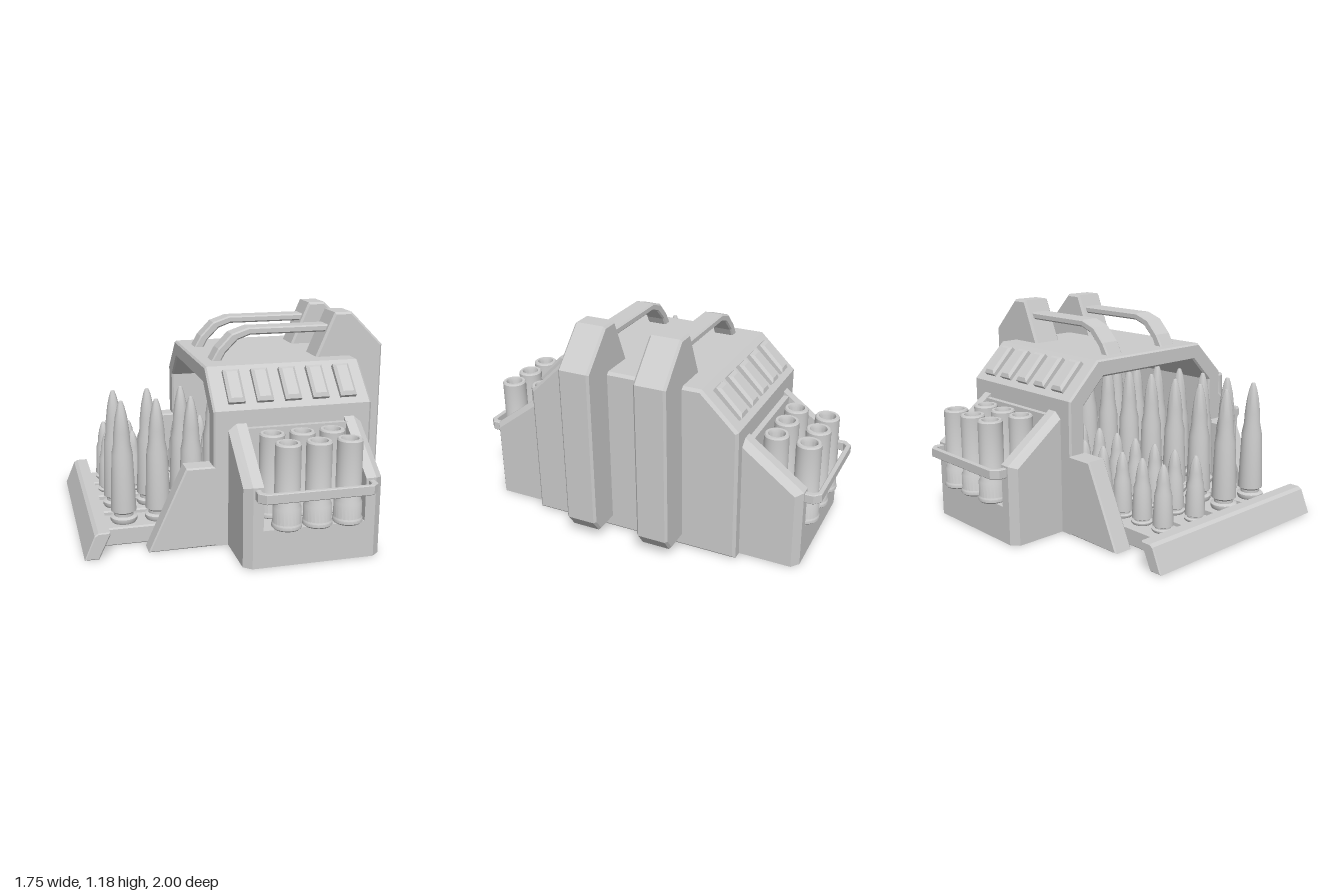
import * as THREE from 'three';
import { ConvexGeometry } from 'three/addons/geometries/ConvexGeometry.js';
import { toCreasedNormals } from 'three/addons/utils/BufferGeometryUtils.js';

const grey = new THREE.MeshStandardMaterial({ color: 0xcccccc });

function add(parent, name, geometry, x = 0, y = 0, z = 0) {
  const mesh = new THREE.Mesh(geometry, grey);
  mesh.name = name;
  mesh.position.set(x, y, z);
  parent.add(mesh);
  return mesh;
}

// Bevelled slab: outline in x/y, running along z from z0 to z1
function slab(outline, z0, z1, bevel = 0.012) {
  const shape = new THREE.Shape(outline.map(([x, y]) => new THREE.Vector2(x, y)));
  return new THREE.ExtrudeGeometry(shape, {
    depth: z1 - z0 - 2 * bevel, bevelEnabled: bevel > 0, bevelSegments: 1,
    bevelThickness: bevel, bevelSize: bevel, bevelOffset: -bevel,
  }).translate(0, 0, z0 + bevel);
}

// Symmetric z/y outline running along x
const slabX = (outline, x0, x1, bevel) => slab(outline, x0, x1, bevel).rotateY(Math.PI / 2);

const lathe = (points, sides = 24) => toCreasedNormals(
  new THREE.LatheGeometry(points.map(([r, y]) => new THREE.Vector2(r, y)), sides), 0.6);

const hull = (points) => new ConvexGeometry(points.map((p) => new THREE.Vector3(...p)));

// Hollow housing, closed at the +x end and open at the -x end
function housing(root) {
  const outer = [[-0.6, 0], [0.6, 0], [0.6, 0.74], [0.4, 0.935], [-0.4, 0.935], [-0.6, 0.74]];
  const arch = [
    [-0.6, 0], [-0.5, 0], [-0.5, 0.7], [-0.36, 0.84], [0.36, 0.84], [0.5, 0.7], [0.5, 0],
    [0.6, 0], [0.6, 0.74], [0.4, 0.935], [-0.4, 0.935], [-0.6, 0.74],
  ];
  add(root, 'housingShell', slabX(arch, -0.19, 0.62, 0.01));
  add(root, 'housingEndWall', slabX(outer, 0.55, 0.685, 0.015));

  // Raised vents on both sloping shoulders
  const vent = hull([[0.045, 0.1, -0.02], [0.045, 0.1, 0.022], [0.03, 0.08, 0.035]].flatMap(
    ([x, y, z]) => [[x, y, z], [-x, y, z], [x, -y, z], [-x, -y, z]]));
  for (const side of [1, -1]) {
    for (let i = 0; i < 5; i++) {
      const mesh = add(root, 'shoulderVent', vent, -0.06 + i * 0.154, 0.8375, side * 0.5);
      mesh.rotation.set(-0.773, 0, 0);
      if (side < 0) mesh.rotation.set(-0.773, Math.PI, 0, 'YXZ');
      else mesh.rotation.order = 'YXZ';
    }
  }

  // Cheek plates beside the opening
  const cheek = [[-0.54, 0], [-0.15, 0], [-0.15, 0.445], [-0.335, 0.445]];
  for (const z of [-0.6, 0.49]) add(root, 'cheekPlate', slab(cheek, z, z + 0.11, 0.008));
}

// Fins on the closed end, with a grab handle running from each over the roof
function finsAndHandles(root) {
  const fin = [
    [0.45, 0.88], [0.58, 1.18], [0.68, 1.18], [0.87, 0.99],
    [0.87, 0.13], [0.82, 0.06], [0.66, 0.06], [0.6, 0.12],
  ];
  const handle = [
    [-0.125, 0.92], [-0.08, 1.0], [-0.005, 1.078], [0.09, 1.11], [0.56, 1.11],
    [0.56, 1.07], [0.1, 1.07], [0.03, 1.045], [-0.04, 0.975], [-0.07, 0.92],
  ];
  for (const z of [-0.21, 0.21]) {
    add(root, 'endFin', slab(fin, -0.088, 0.088, 0.012), 0, 0, z);
    add(root, 'roofHandle', slab(handle, -0.056, 0.056, 0.008), 0, 0, z);
  }
}

// Four trays of cartridges, joined by a slanted front lip
function trays(root) {
  const big = lathe([
    [0, 0], [0.066, 0], [0.073, 0.012], [0.073, 0.028], [0.053, 0.036], [0.053, 0.052],
    [0.069, 0.064], [0.057, 0.38], [0.046, 0.435], [0.043, 0.5], [0.033, 0.58],
    [0.02, 0.64], [0.01, 0.668], [0, 0.672],
  ]);
  const small = big.clone().scale(0.8, 0.53, 0.8);
  const tray = [[-0.8, 0], [0.58, 0], [0.58, 0.1], [-0.755, 0.1]];
  const rows = [
    { z: 0.365, x: -0.635, step: 0.188, shape: big },
    { z: 0.12, x: -0.645, step: 0.19, shape: big },
    { z: -0.135, x: -0.66, step: 0.152, shape: small },
    { z: -0.37, x: -0.65, step: 0.152, shape: small },
  ];
  for (const row of rows) {
    add(root, 'tray', slab(tray, -0.097, 0.097, 0.008), 0, 0, row.z);
    for (let x = row.x; x < 0.5; x += row.step) add(root, 'cartridge', row.shape, x, 0.1, row.z);
  }
  const lip = [[-0.875, 0], [-0.82, 0.13], [-0.8, 0.143], [-0.74, 0.143], [-0.74, 0.125], [-0.8, 0]];
  add(root, 'trayLip', slab(lip, -0.617, 0.617, 0.006));
}

// Side pod holding six open tubes; side = 1 front, -1 back
function pod(root, side) {
  const group = new THREE.Group();
  group.name = side > 0 ? 'frontPod' : 'backPod';
  group.position.x = 0.255;
  group.rotation.y = side > 0 ? 0 : Math.PI;
  root.add(group);

  // Chamfered side walls
  const section = (x, inset) => [
    [x, 0, 0.56], [x, 0, 0.92 - inset], [x, 0.43 - inset * 0.3, 0.92 - inset],
    [x, 0.67 - inset, 0.6], [x, 0.67 - inset, 0.56],
  ];
  for (const s of [-1, 1]) {
    add(group, 'podWall', hull([
      ...section(s * 0.27, 0), ...section(s * 0.325, 0), ...section(s * 0.367, 0.035),
    ]));
  }
  add(group, 'podBase', new THREE.BoxGeometry(0.56, 0.2, 0.36), 0, 0.1, 0.74);
  add(group, 'podBackPlate', new THREE.BoxGeometry(0.56, 0.46, 0.06), 0, 0.418, 0.601);

  // Retaining rail wrapped round the outer row
  const rail = [
    [-0.315, 0.89], [-0.315, 0.965], [-0.28, 1.0], [0.28, 1.0], [0.315, 0.965], [0.315, 0.89],
    [0.285, 0.89], [0.285, 0.955], [0.267, 0.975], [-0.267, 0.975], [-0.285, 0.955], [-0.285, 0.89],
  ];
  add(group, 'retainingRail', slab(rail, -0.42, -0.368, 0.004).rotateX(Math.PI / 2)
    .scale(1, 1, 1));

  const tube = lathe([
    [0, 0.198], [0.07, 0.198], [0.078, 0.206], [0.078, 0.222], [0.073, 0.23], [0.073, 0.31],
    [0.066, 0.322], [0.066, 0.634], [0.06, 0.642], [0.046, 0.642], [0.04, 0.625],
    [0.04, 0.54], [0, 0.54],
  ]);
  for (const [z, shift] of [[0.89, 0.023], [0.71, -0.002]]) {
    for (let i = -1; i <= 1; i++) add(group, 'tube', tube, side * (i * 0.163 + shift), 0, z);
  }
}

export function createModel() {
  const root = new THREE.Group();
  root.name = 'ammunitionRack';
  housing(root);
  finsAndHandles(root);
  trays(root);
  pod(root, 1);
  pod(root, -1);
  return root;
}
